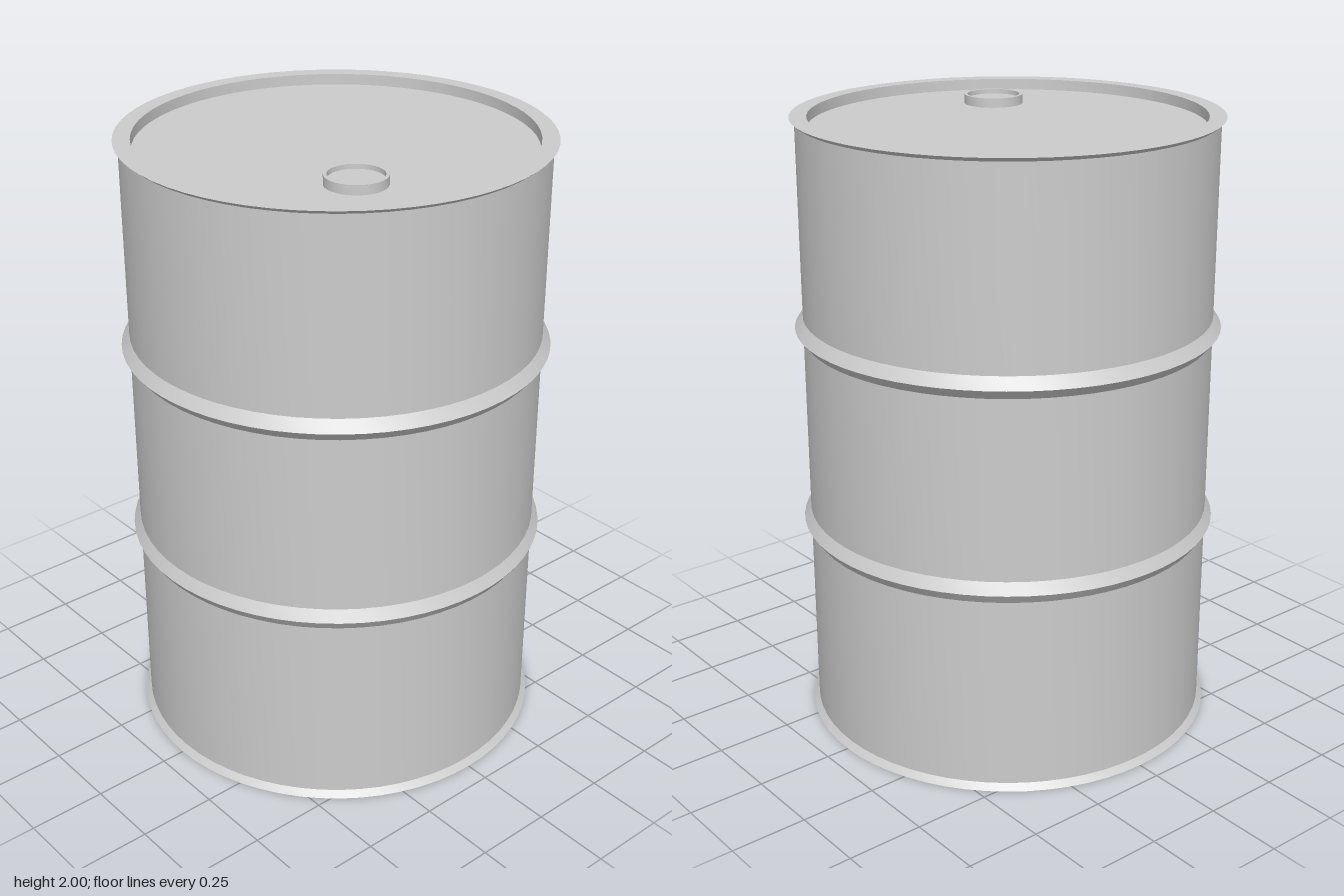
import * as THREE from 'three';
import { toCreasedNormals } from 'three/addons/utils/BufferGeometryUtils.js';

const material = new THREE.MeshStandardMaterial({ color: 0xcccccc });

// Spins an [radius, height] profile round the y axis, keeping its corners sharp.
function turned(name, profile, segments) {
  const points = profile.map(([r, y]) => new THREE.Vector2(r, y));
  const geometry = toCreasedNormals(new THREE.LatheGeometry(points, segments), 0.4);
  const mesh = new THREE.Mesh(geometry, material);
  mesh.name = name;
  return mesh;
}

export function createModel() {
  const group = new THREE.Group();
  group.name = 'barrel';
  const R = 0.655, lidY = 1.965;

  // A pointed hoop pressed out of the wall
  const hoop = (y, r) => [[R, y - 0.032], [r, y], [R, y + 0.037]];

  // Base, flared foot, wall with two hoops, flared top rim and its inner wall
  group.add(turned('barrelBody', [
    [0, 0], [0.673, 0], [R, 0.02],
    ...hoop(0.682, 0.677),
    ...hoop(1.333, 0.681),
    [R, 1.987], [0.671, 2], [0.617, 2], [0.617, lidY],
  ], 64));

  // Recessed lid
  group.add(turned('lid', [[0.617, lidY], [0, lidY]], 64));

  // Bung cap with a thin raised edge
  const cap = turned('bungCap', [
    [0.095, 0], [0.095, 0.03], [0.085, 0.03], [0.085, 0.015], [0, 0.015],
  ], 32);
  cap.position.set(-0.19, lidY, 0.31);
  group.add(cap);

  return group;
}
